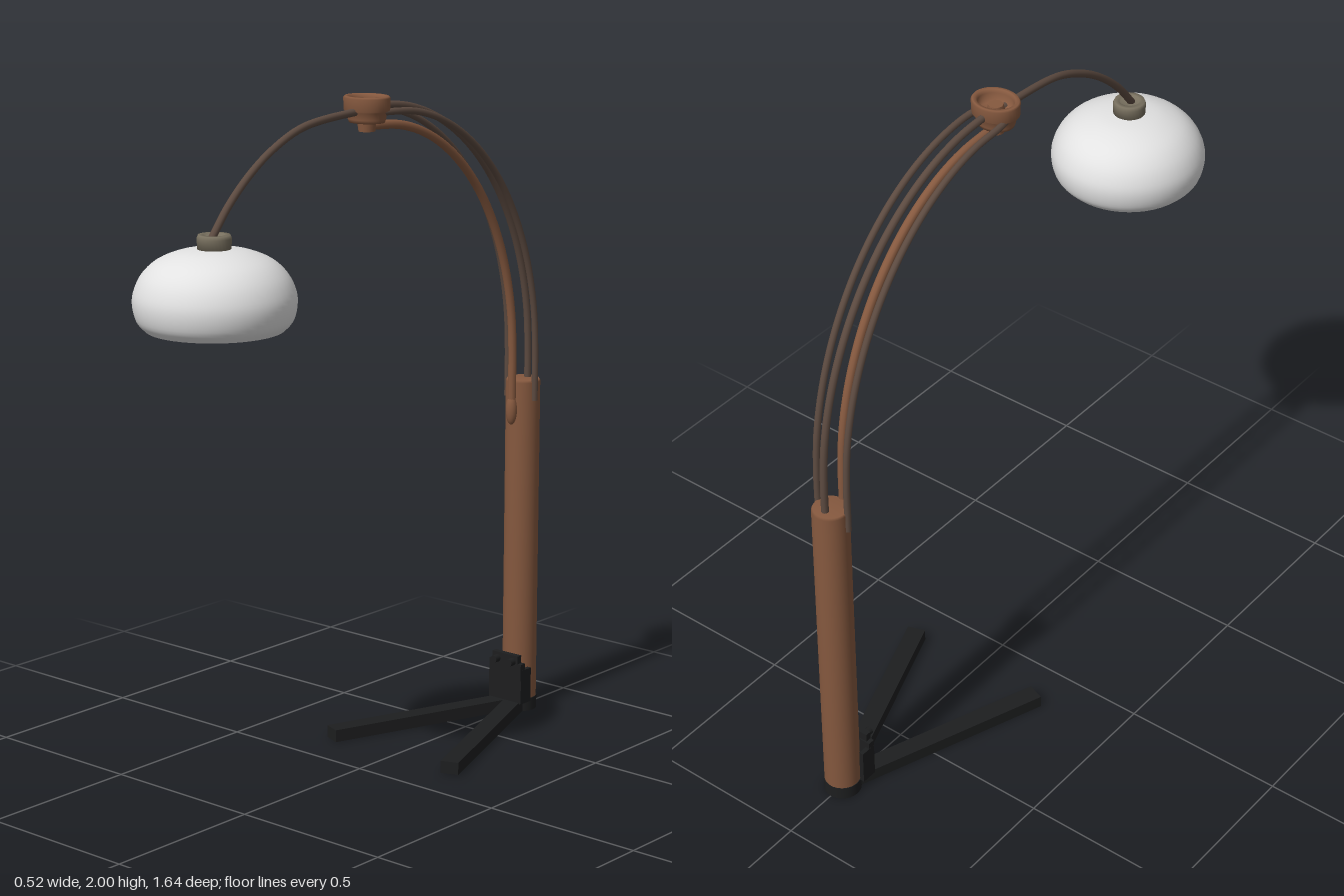
import * as THREE from 'three';

const mat = (name, color, side = THREE.FrontSide) => {
  const m = new THREE.MeshStandardMaterial({ color, side });
  m.name = name;
  return m;
};

export function createModel() {
  const wood = mat('wood', 0x86593f);
  const bronze = mat('bronze', 0x5c4a40);
  const black = mat('black iron', 0x1d1e1f);
  const brass = mat('aged brass', 0x78705f);
  const glass = mat('white glass', 0xe2e2e2, THREE.DoubleSide);

  const lamp = new THREE.Group();
  lamp.name = 'arcFloorLamp';
  const add = (name, geometry, material, x = 0, y = 0, z = 0) => {
    const mesh = new THREE.Mesh(geometry, material);
    mesh.name = name;
    mesh.position.set(x, y, z);
    lamp.add(mesh);
    return mesh;
  };
  const lathe = (points, segments = 40) =>
    new THREE.LatheGeometry(points.map(p => new THREE.Vector2(...p)), segments);
  const tube = (points, radius) => new THREE.TubeGeometry(
    new THREE.CatmullRomCurve3(points.map(p => new THREE.Vector3(...p))), 64, radius, 10);

  const poleZ = -0.767;

  // V-shaped base: two flat bars meeting under the pole
  add('baseHeel', new THREE.CylinderGeometry(0.055, 0.055, 0.04, 28), black, 0, 0.02, poleZ);
  for (const side of [-1, 1]) {
    const angle = Math.atan2(0.232, 0.63);
    const leg = add(side > 0 ? 'leftBaseLeg' : 'rightBaseLeg',
      new THREE.BoxGeometry(0.056, 0.038, 0.672), black, side * 0.116, 0.02, poleZ + 0.315);
    leg.rotation.y = side * angle;
  }

  // Bracket clamping the pole to the base
  add('bracketPlate', new THREE.BoxGeometry(0.125, 0.13, 0.022), black, 0, 0.1, -0.705);
  add('bracketTop', new THREE.BoxGeometry(0.1, 0.03, 0.018), black, 0, 0.175, -0.703);
  for (const side of [-1, 1]) {
    add('bracketCheek', new THREE.BoxGeometry(0.014, 0.11, 0.05), black, side * 0.056, 0.09, -0.72);
    const bolt = add('bracketBolt', new THREE.CylinderGeometry(0.012, 0.012, 0.03, 12), black,
      side * 0.03, 0.17, -0.688);
    bolt.rotation.x = Math.PI / 2;
  }

  // Pole with a softened top rim
  add('pole', lathe([[0, 0.035], [0.053, 0.035], [0.053, 1.055], [0.049, 1.062], [0, 1.062]]),
    wood, 0, 0, poleZ);

  // Curved rods: straight near the pole, then a quarter ellipse to the hub
  const arcRod = (name, x, zPole, yTop, radius, material, yStart) => {
    const points = [[x, yStart, zPole], [x, 1.06, zPole]];
    const zHub = -0.08, yBase = 1.15;
    for (let i = 0; i <= 10; i++) {
      const t = (i / 10) * Math.PI / 2;
      points.push([x, yBase + (yTop - yBase) * Math.sin(t), zHub + (zPole - zHub) * Math.cos(t)]);
    }
    points.push([x * 0.85, yTop, -0.035]);
    add(name, tube(points, radius), material);
  };
  arcRod('lowerRod', 0, -0.712, 1.912, 0.013, wood, 0.95);
  arcRod('upperRod', 0, -0.789, 1.968, 0.011, bronze, 1.0);
  arcRod('leftRod', 0.053, -0.757, 1.955, 0.01, bronze, 1.0);
  arcRod('rightRod', -0.053, -0.757, 1.955, 0.01, bronze, 1.0);
  const grip = add('rodSocket', new THREE.SphereGeometry(0.018, 16, 12), wood, 0, 0.97, -0.711);
  grip.scale.y = 2.6;

  // Hub: open cup with a small knob inside
  const hub = add('hubCup', lathe([[0, 1.925], [0.054, 1.925], [0.058, 1.935], [0.06, 1.955],
    [0.07, 1.96], [0.071, 1.995], [0.067, 2], [0.057, 2], [0.052, 1.99], [0.048, 1.962], [0, 1.96]]),
    wood, 0, 0, -0.031);
  hub.scale.z = 0.86;
  add('hubKnob', new THREE.CylinderGeometry(0.022, 0.026, 0.025, 8), wood, 0, 1.972, -0.031);
  add('hubFoot', new THREE.CylinderGeometry(0.028, 0.024, 0.03, 20), wood, 0, 1.914, -0.031);

  // Lamp arm reaching forward and down
  add('lampArm', tube([[0, 1.957, -0.03], [0, 1.957, 0.04], [0, 1.937, 0.24], [0, 1.89, 0.36],
    [0, 1.83, 0.455], [0, 1.755, 0.54], [0, 1.675, 0.607]], 0.011), bronze);

  // Shade, its collar and the bulb
  const lampZ = 0.597;
  add('shadeCollar', lathe([[0, 1.635], [0.046, 1.635], [0.048, 1.675], [0.044, 1.685], [0.03, 1.685],
    [0.028, 1.675], [0, 1.675]], 28), brass, 0, 0, lampZ);
  const outline = new THREE.SplineCurve([[0.19, 1.425], [0.213, 1.45], [0.224, 1.49], [0.221, 1.53],
    [0.2, 1.575], [0.16, 1.613], [0.1, 1.638], [0.04, 1.647], [0, 1.648]]
    .map(p => new THREE.Vector2(...p)));
  const outer = outline.getPoints(32);
  add('shade', new THREE.LatheGeometry(outer, 48), glass, 0, 0, lampZ);
  add('shadeRim', lathe([[0.184, 1.431], [0.184, 1.425], [0.19, 1.425]], 48), glass, 0, 0, lampZ);
  add('bulbHolder', new THREE.CylinderGeometry(0.02, 0.02, 0.12, 16), brass, 0, 1.583, lampZ);
  add('bulb', new THREE.SphereGeometry(0.037, 24, 16), glass, 0, 1.5, lampZ);

  return lamp;
}
